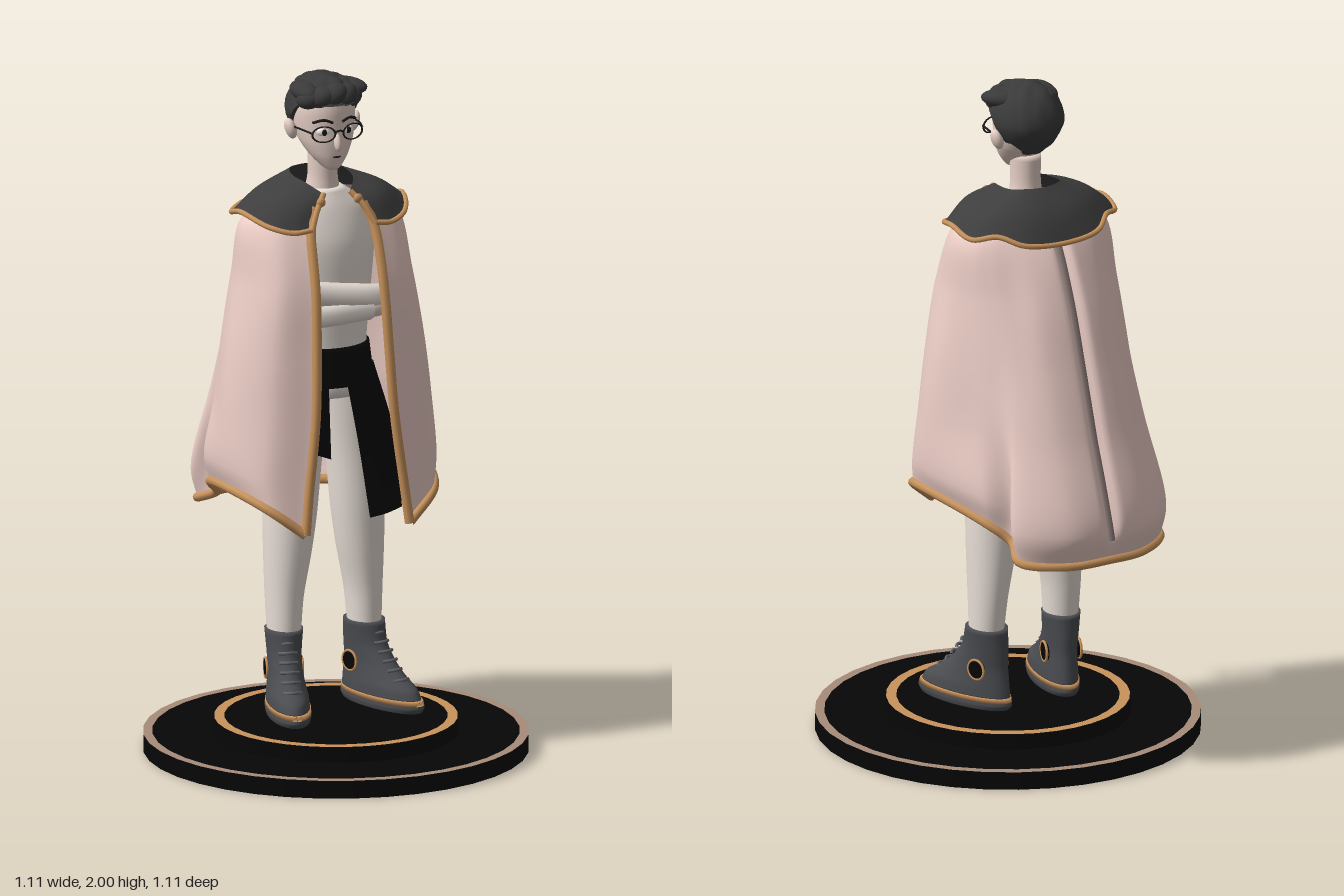
import * as THREE from 'three';

const V = (x, y, z) => new THREE.Vector3(x, y, z);
const mat = (color, side = THREE.FrontSide) => new THREE.MeshStandardMaterial({ color, side, roughness: 0.9 });
const M = {
  black: mat(0x060606), cloth: mat(0x060606, THREE.DoubleSide), gold: mat(0xc8935c), rim: mat(0xa88c78),
  skin: mat(0xe6d0c6), cream: mat(0xeae0d8), hair: mat(0x3a3a3a), capelet: mat(0x3e3e3e, THREE.DoubleSide),
  cape: mat(0xeccdc6, THREE.DoubleSide), seam: mat(0x8a7a77), shoe: mat(0x4a4c50), lace: mat(0x606266),
  white: mat(0xf4f2ee), dark: mat(0x1c1a1a),
};

function add(parent, name, geo, material, pos = [0, 0, 0], scale = [1, 1, 1], rot = [0, 0, 0]) {
  const m = new THREE.Mesh(geo, material);
  m.name = name;
  m.position.set(...pos); m.scale.set(...scale); m.rotation.set(...rot);
  parent.add(m);
}

// Surface through rows of points, listed from bottom to top
function skinRows(rows, closed) {
  const n = rows[0].length, pos = [], idx = [];
  rows.forEach(r => r.forEach(p => pos.push(p.x, p.y, p.z)));
  for (let j = 0; j < rows.length - 1; j++) {
    for (let i = 0; i < (closed ? n : n - 1); i++) {
      const k = (i + 1) % n, a = j * n + i, b = j * n + k, c = b + n, d = a + n;
      idx.push(a, b, c, a, c, d);
    }
  }
  if (closed) {
    [0, rows.length - 1].forEach(j => {
      const mid = rows[j].reduce((s, p) => s.add(p), V(0, 0, 0)).divideScalar(n), c = pos.length / 3;
      pos.push(mid.x, mid.y, mid.z);
      for (let i = 0; i < n; i++) {
        const a = j * n + i, b = j * n + (i + 1) % n;
        if (j) idx.push(a, b, c); else idx.push(b, a, c);
      }
    });
  }
  const g = new THREE.BufferGeometry();
  g.setAttribute('position', new THREE.Float32BufferAttribute(pos, 3));
  g.setIndex(idx);
  g.computeVertexNormals();
  return g;
}

// Smooth body from horizontal ellipses [x, y, z, rx, rz], bottom to top
function rings(list, segs = 28, per = 5) {
  const c = new THREE.CatmullRomCurve3(list.map(r => V(r[0], r[1], r[2])), false, 'catmullrom', 0.4);
  const s = new THREE.CatmullRomCurve3(list.map(r => V(r[3], r[4], 0)), false, 'catmullrom', 0.4);
  const rows = [], steps = (list.length - 1) * per;
  for (let j = 0; j <= steps; j++) {
    const p = c.getPoint(j / steps), r = s.getPoint(j / steps), row = [];
    for (let i = 0; i < segs; i++) {
      const a = i / segs * Math.PI * 2;
      row.push(V(p.x + r.x * Math.sin(a), p.y, p.z + r.y * Math.cos(a)));
    }
    rows.push(row);
  }
  return skinRows(rows, true);
}

// Smooth grid of rows across open sections
function loft(sections, nu, nv, warp = p => p) {
  const curves = sections.map(s => new THREE.CatmullRomCurve3(s).getPoints(nu));
  const rows = Array.from({ length: nv + 1 }, () => []);
  for (let i = 0; i <= nu; i++) {
    new THREE.CatmullRomCurve3(curves.map(c => c[i])).getPoints(nv).forEach((p, j) => rows[j].push(warp(p)));
  }
  return rows;
}
// Mirrored section from half an outline [x, z], front edge to centre back
function outline(xz, y) {
  const half = xz.map(([x, z], i) => V(x, Array.isArray(y) ? y[i] : y, z));
  return [...half, ...half.slice(0, -1).reverse().map(p => V(-p.x, p.y, p.z))];
}
const tube = (pts, r, segs = 40) => new THREE.TubeGeometry(new THREE.CatmullRomCurve3(pts), segs, r, 8);
const ball = new THREE.SphereGeometry(1, 24, 16);

// Stepped plinth, hollow underneath
function makeBase(g) {
  const profile = [[0, 0.05], [0.345, 0.05], [0.345, 0], [0.557, 0], [0.557, 0.052], [0.355, 0.052], [0.355, 0.097], [0, 0.097]];
  const plinth = new THREE.LatheGeometry(profile.map(p => new THREE.Vector2(...p)), 36).toNonIndexed();
  plinth.computeVertexNormals();
  add(g, 'plinth', plinth, M.black);
  const ring = (name, a, b, y, m) => add(g, name, new THREE.RingGeometry(a, b, 36), m, [0, y, 0], [1, 1, 1], [-Math.PI / 2, 0, 0]);
  ring('baseRim', 0.53, 0.557, 0.053, M.rim);
  ring('stepRim', 0.322, 0.352, 0.098, M.gold);
}

function makeShoe(side) {
  const s = new THREE.Group();
  s.name = side > 0 ? 'leftShoe' : 'rightShoe';
  add(s, 'sole', rings([[0, 0.115, 0, 0.06, 0.16], [0, 0.128, 0, 0.063, 0.17], [0, 0.14, 0, 0.062, 0.168]]), M.shoe);
  add(s, 'soleStripe', rings([[0, 0.138, 0, 0.063, 0.169], [0, 0.152, -0.002, 0.062, 0.165]], 28, 1), M.gold);
  add(s, 'upper', rings([[0, 0.15, -0.003, 0.06, 0.161], [0, 0.178, -0.011, 0.058, 0.15], [0, 0.205, -0.033, 0.053, 0.125],
    [0, 0.24, -0.054, 0.049, 0.1], [0, 0.29, -0.075, 0.05, 0.078], [0, 0.355, -0.081, 0.056, 0.066]]), M.shoe);
  for (let i = 0; i < 6; i++) {
    const t = i / 5, y = 0.2 + 0.12 * t, z = 0.097 - 0.105 * t ** 0.8;
    add(s, 'lace', tube([V(-0.026, y, z - 0.016), V(0, y + 0.004, z), V(0.026, y, z - 0.016)], 0.005, 8), M.lace);
  }
  for (const k of [-1, 1]) {
    add(s, 'anklePatch', new THREE.CylinderGeometry(0.028, 0.028, 0.01, 24), M.black, [k * 0.049, 0.235, -0.085], [1, 1, 1], [0, 0, Math.PI / 2]);
    add(s, 'patchRing', new THREE.TorusGeometry(0.029, 0.004, 6, 28), M.gold, [k * 0.052, 0.235, -0.085], [1, 1, 1], [0, Math.PI / 2, 0]);
  }
  s.position.set(side * 0.15, 0, -0.005);
  s.rotation.y = side * 0.28;
  return s;
}

function makeBody(g) {
  for (const s of [-1, 1]) {
    g.add(makeShoe(s));
    add(g, 'leg', rings([[s * 0.128, 0.32, -0.08, 0.046, 0.057], [s * 0.125, 0.45, -0.085, 0.054, 0.068], [s * 0.115, 0.58, -0.085, 0.068, 0.08],
      [s * 0.107, 0.7, -0.085, 0.077, 0.088], [s * 0.096, 0.87, -0.085, 0.082, 0.093], [s * 0.08, 1.02, -0.08, 0.085, 0.098], [s * 0.06, 1.12, -0.08, 0.08, 0.095]]), M.cream);
    // Folded arms, the left one lying above
    const up = s > 0 ? 0.035 : -0.025;
    add(g, 'arm', tube([V(s * 0.165, 1.56, -0.09), V(s * 0.2, 1.44, -0.07), V(s * 0.2, 1.33, -0.02), V(s * 0.11, 1.325 + up * 0.6, 0.035), V(-s * 0.09, 1.34 + up, 0.04)], 0.036), M.cream);
    add(g, 'hand', ball, M.skin, [-s * 0.11, 1.34 + up, 0.035], [0.045, 0.03, 0.028]);
    add(g, 'shoulder', ball, M.cream, [s * 0.155, 1.56, -0.09], [0.05, 0.045, 0.05]);
  }
  add(g, 'torso', rings([[0, 1.05, -0.075, 0.13, 0.1], [0, 1.2, -0.07, 0.122, 0.095], [0, 1.35, -0.07, 0.135, 0.1],
    [0, 1.5, -0.075, 0.15, 0.1], [0, 1.6, -0.085, 0.13, 0.08], [0, 1.66, -0.09, 0.055, 0.055]]), M.cream);
  // Asymmetric wrap skirt, its panels hanging forward
  add(g, 'waistBand', rings([[0, 1.085, -0.075, 0.145, 0.118], [0, 1.13, -0.073, 0.14, 0.112], [0, 1.2, -0.07, 0.13, 0.104]]), M.black);
  add(g, 'leftSkirtPanel', skinRows(loft([
    [V(0.05, 0.712, 0.125), V(0.1, 0.72, 0.128), V(0.15, 0.735, 0.128)],
    [V(0.035, 0.92, 0.08), V(0.1, 0.92, 0.075), V(0.17, 0.92, 0.04)],
    [V(0.008, 1.13, 0.045), V(0.09, 1.13, 0.025), V(0.145, 1.13, -0.06)]], 16, 16), false), M.cloth);
  add(g, 'rightSkirtPanel', skinRows(loft([
    [V(-0.19, 0.94, 0.0), V(-0.13, 0.915, 0.06), V(-0.05, 0.885, 0.075)],
    [V(-0.145, 1.13, -0.06), V(-0.1, 1.13, 0.02), V(-0.045, 1.13, 0.045)]], 16, 8), false), M.cloth);
}

function makeHead(g) {
  add(g, 'neck', rings([[0, 1.63, -0.095, 0.055, 0.055], [0, 1.69, -0.092, 0.043, 0.048], [0, 1.78, -0.09, 0.044, 0.05]]), M.skin);
  add(g, 'face', rings([[0, 1.722, -0.026, 0.012, 0.014], [0, 1.732, -0.035, 0.028, 0.034], [0, 1.765, -0.053, 0.056, 0.061], [0, 1.805, -0.074, 0.078, 0.085],
    [0, 1.85, -0.09, 0.09, 0.1], [0, 1.9, -0.095, 0.092, 0.106], [0, 1.95, -0.095, 0.078, 0.095], [0, 1.975, -0.095, 0.045, 0.06]]), M.skin);
  add(g, 'nose', ball, M.skin, [0, 1.812, 0.009], [0.011, 0.028, 0.016], [-0.35, 0, 0]);
  add(g, 'mouth', tube([V(-0.02, 1.768, 0), V(0, 1.766, 0.008), V(0.02, 1.768, 0)], 0.003, 10), M.dark);
  for (const s of [-1, 1]) {
    add(g, 'ear', ball, M.skin, [s * 0.1, 1.838, -0.095], [0.016, 0.032, 0.023], [0, 0, -s * 0.3]);
    add(g, 'eye', ball, M.white, [s * 0.039, 1.842, -0.003], [0.02, 0.012, 0.008], [0, s * 0.35, 0]);
    add(g, 'iris', ball, M.dark, [s * 0.038, 1.842, 0.004], [0.008, 0.01, 0.004]);
    add(g, 'eyebrow', tube([V(s * 0.014, 1.87, 0.01), V(s * 0.04, 1.879, 0.004), V(s * 0.068, 1.87, -0.014)], 0.004, 10), M.dark);
    add(g, 'lensFrame', new THREE.TorusGeometry(0.034, 0.003, 6, 28), M.dark, [s * 0.046, 1.84, 0.016], [1, 0.68, 1], [0, s * 0.22, 0]);
    add(g, 'temple', tube([V(s * 0.08, 1.845, 0.01), V(s * 0.093, 1.848, -0.04), V(s * 0.098, 1.845, -0.1)], 0.003, 10), M.dark);
  }
  add(g, 'bridge', tube([V(-0.013, 1.845, 0.023), V(0, 1.849, 0.025), V(0.013, 1.845, 0.023)], 0.003, 6), M.dark);

  // Hair cap: wavy dome cut off high at the brow and low at the nape
  const cap = new THREE.SphereGeometry(1, 48, 32), p = cap.attributes.position;
  for (let i = 0; i < p.count; i++) {
    const x = p.getX(i), y = p.getY(i), z = p.getZ(i);
    const w = 1 + 0.025 * Math.sin(9 * x + 5 * z) * Math.cos(8 * z - 3 * y);
    const cut = 1.77 + 0.15 * THREE.MathUtils.smoothstep(z, -0.6, 0.5);
    const low = Math.max(0, -0.005 - 0.112 * y) * 0.25;
    p.setXYZ(i, x * (0.106 * w - low), Math.max(cut, 1.885 + 0.112 * y * w), -0.098 + z * (0.116 * w - low));
  }
  cap.computeVertexNormals();
  add(g, 'hairCap', cap, M.hair);
  // Swept locks over the brow and crown
  for (let i = 0; i < 5; i++) {
    const a = (i - 2) * 0.5;
    add(g, 'fringeLock', ball, M.hair, [Math.sin(a) * 0.075, 1.947 - Math.abs(a) * 0.012, -0.072 + Math.cos(a) * 0.056], [0.042, 0.03, 0.036], [0.2, a, 0.4]);
    add(g, 'crownLock', ball, M.hair, [(i - 2) * 0.032, 1.967 - Math.abs(i - 2) * 0.008, -0.08 - (i % 2) * 0.02], [0.036, 0.027, 0.07], [0, 0.35 + (i - 2) * 0.2, 0.1]);
  }
}

function makeCape(g) {
  const sections = [
    outline([[0.165, 0.148], [0.262, 0.1], [0.308, -0.05], [0.265, -0.29], [0.215, -0.35], [0.24, -0.43], [0.13, -0.51], [0, -0.528]], [0.69, 0.765, 0.795, 0.755, 0.705, 0.67, 0.66, 0.662]),
    outline([[0.152, 0.14], [0.268, 0.09], [0.325, -0.05], [0.28, -0.3], [0.215, -0.36], [0.262, -0.425], [0.14, -0.535], [0, -0.555]], [0.8, 0.84, 0.86, 0.83, 0.79, 0.765, 0.755, 0.755]),
    outline([[0.125, 0.13], [0.25, 0.08], [0.32, -0.06], [0.27, -0.25], [0.235, -0.325], [0.22, -0.38], [0.13, -0.455], [0, -0.475]], 1.02),
    outline([[0.115, 0.117], [0.235, 0.07], [0.3, -0.07], [0.262, -0.22], [0.227, -0.29], [0.19, -0.345], [0.12, -0.4], [0, -0.42]], 1.2),
    outline([[0.108, 0.093], [0.21, 0.055], [0.265, -0.08], [0.245, -0.19], [0.21, -0.25], [0.17, -0.29], [0.11, -0.335], [0, -0.355]], 1.4),
    outline([[0.1, 0.043], [0.185, 0.005], [0.238, -0.09], [0.223, -0.17], [0.195, -0.203], [0.155, -0.228], [0.09, -0.257], [0, -0.277]], 1.565),
    outline([[0.08, 0.015], [0.12, -0.01], [0.165, -0.08], [0.155, -0.13], [0.135, -0.16], [0.11, -0.182], [0.06, -0.203], [0, -0.212]], 1.625),
  ];
  // Sharp fold down the middle of the back, easing out towards the hem
  const rows = loft(sections, 180, 60, p => {
    if (p.z < -0.2) p.z += 0.032 * THREE.MathUtils.smoothstep(p.y, 0.68, 0.8) * Math.exp(-((p.x / 0.017) ** 2));
    return p;
  });
  add(g, 'cape', skinRows(rows, false), M.cape);
  const every = (a, n) => a.filter((_, i) => i % n === 0);
  const fold = rows.map(r => r[90]).filter(p => p.y > 0.72 && p.y < 1.56);
  add(g, 'backFold', tube(every(fold, 3), 0.013, 50), M.seam);
  add(g, 'capeHemTrim', tube(every(rows[0], 3), 0.014, 160), M.gold);
  for (const k of [0, 180]) add(g, 'capeFrontTrim', tube(every(rows.map(r => r[k]), 4), 0.015, 60), M.gold);

  const collar = [
    outline([[0.1, 0.053], [0.155, 0.045], [0.215, 0.005], [0.256, -0.1], [0.246, -0.185], [0.186, -0.232], [0.125, -0.28], [0, -0.297]], [1.57, 1.565, 1.58, 1.605, 1.585, 1.595, 1.57, 1.56]),
    outline([[0.075, 0.032], [0.12, 0.02], [0.16, -0.02], [0.185, -0.1], [0.175, -0.17], [0.135, -0.21], [0.08, -0.24], [0, -0.255]], [1.62, 1.635, 1.65, 1.655, 1.65, 1.65, 1.645, 1.635]),
    outline([[0.042, 0.005], [0.058, -0.015], [0.075, -0.045], [0.084, -0.1], [0.08, -0.145], [0.065, -0.17], [0.035, -0.185], [0, -0.19]], [1.66, 1.672, 1.685, 1.69, 1.695, 1.7, 1.7, 1.7]),
  ];
  const c = loft(collar, 96, 16);
  add(g, 'capelet', skinRows(c, false), M.capelet);
  add(g, 'capeletTrim', tube(every(c[0], 2), 0.008, 140), M.gold);
  for (const k of [0, 96]) {
    add(g, 'capeletFrontTrim', tube(c.map(r => r[k]), 0.009, 24), M.gold);
    const p = c[12][k];
    add(g, 'clasp', ball, M.gold, [p.x, p.y, p.z + 0.006], [0.014, 0.014, 0.009]);
  }
}

export function createModel() {
  const g = new THREE.Group();
  g.name = 'cloakedFigure';
  for (const [name, make] of [['base', makeBase], ['body', makeBody], ['head', makeHead], ['cloak', makeCape]]) {
    const part = new THREE.Group();
    part.name = name;
    make(part);
    g.add(part);
  }
  return g;
}
